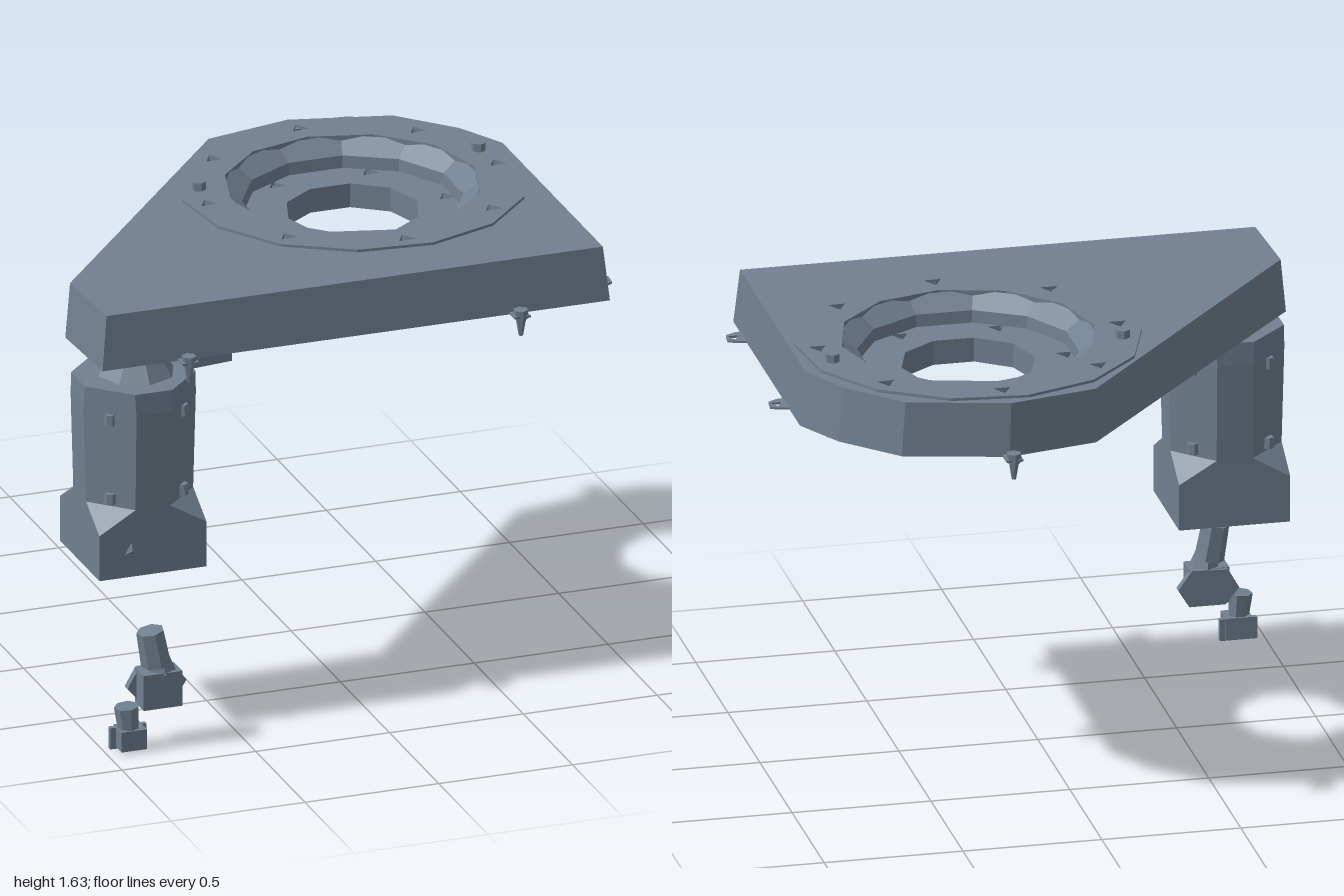
import * as THREE from 'three';

const slate = new THREE.MeshStandardMaterial({ color: 0x708090, flatShading: true });
slate.name = 'slate grey';

// regular polygon as [x, z] pairs
function ngon(cx, cz, r, n, turn = 0) {
  return Array.from({ length: n }, (_, i) => {
    const a = turn + (i / n) * Math.PI * 2;
    return [cx + r * Math.cos(a), cz + r * Math.sin(a)];
  });
}

// upright prism from an [x, z] outline; holes run the same way round and are reversed here
function prism(outline, y0, y1, holes = []) {
  const flip = (pts) => pts.map(([x, z]) => new THREE.Vector2(x, -z));
  const shape = new THREE.Shape(flip(outline));
  holes.forEach((h) => shape.holes.push(new THREE.Path(flip(h).reverse())));
  const g = new THREE.ExtrudeGeometry(shape, { depth: y1 - y0, bevelEnabled: false });
  return g.rotateX(-Math.PI / 2).translate(0, y0, 0);
}

// eight-sided section: half width a, flat half width b
const octagon = (a, b) => [[a, -b], [a, b], [b, a], [-b, a], [-a, b], [-a, -b], [-b, -a], [b, -a]];

// closed loft through [y, points] sections
function loft(sections) {
  const n = sections[0][1].length;
  const pos = [];
  const index = [];
  sections.forEach(([y, pts]) => pts.forEach(([x, z]) => pos.push(x, y, z)));
  for (let s = 0; s < sections.length - 1; s++) {
    for (let i = 0; i < n; i++) {
      const a = s * n + i;
      const b = s * n + ((i + 1) % n);
      index.push(a, a + n, b + n, a, b + n, b);
    }
  }
  const top = (sections.length - 1) * n;
  for (let i = 1; i < n - 1; i++) {
    index.push(0, i, i + 1, top, top + i + 1, top + i);
  }
  const g = new THREE.BufferGeometry();
  g.setAttribute('position', new THREE.Float32BufferAttribute(pos, 3));
  g.setIndex(index);
  g.computeVertexNormals();
  return g;
}

export function createModel() {
  const model = new THREE.Group();
  model.name = 'slewingDrive';
  const add = (parent, name, geometry, x = 0, y = 0, z = 0) => {
    const m = new THREE.Mesh(geometry, slate);
    m.name = name;
    m.position.set(x, y, z);
    parent.add(m);
    return m;
  };
  const group = (name, x = 0, y = 0, z = 0) => {
    const g = new THREE.Group();
    g.name = name;
    g.position.set(x, y, z);
    model.add(g);
    return g;
  };
  const cyl = (rTop, rBottom, h, n) => new THREE.CylinderGeometry(rTop, rBottom, h, n);
  const box = (w, h, d) => new THREE.BoxGeometry(w, h, d);

  // hollow housing, slightly wider towards its open underside
  const cx = 0.285, cz = -0.15;
  const outline = [[-0.94, 0.68], [-0.955, 0.35], [-0.04, -0.73], [0.28, -0.8], [0.64, -0.71],
    [0.82, -0.52], [0.915, -0.34], [0.915, 0.68]];
  const inner = outline.map(([x, z]) => [x * 0.965, z * 0.955]);
  const flare = (g) => {
    const p = g.attributes.position;
    for (let i = 0; i < p.count; i++) {
      const t = (1.59 - p.getY(i)) / 0.2;
      p.setX(i, p.getX(i) * (1 + 0.022 * t));
      p.setZ(i, p.getZ(i) * (1 + (p.getZ(i) > 0 ? 0.025 : 0.005) * t));
    }
    g.computeVertexNormals();
    return g;
  };
  const housing = group('housing');
  add(housing, 'housingWall', flare(prism(outline, 1.39, 1.57, [inner])));
  add(housing, 'housingRoof', flare(prism(outline, 1.57, 1.59, [ngon(cx, cz, 0.57, 14)])));

  // stepped bearing ring with triangular bolt holes
  const boltHoles = (n, r) => ngon(cx, cz, r, n).map(([x, z]) => ngon(x, z, 0.036, 3, 0.5));
  const bearing = group('bearing');
  add(bearing, 'outerRing', prism(ngon(cx, cz, 0.615, 14, 0.1), 1.42, 1.6,
    [ngon(cx, cz, 0.455, 12), ...boltHoles(8, 0.54)]));
  add(bearing, 'innerRing', prism(ngon(cx, cz, 0.47, 12), 1.41, 1.5,
    [ngon(cx, cz, 0.24, 10), ...boltHoles(6, 0.35)]));
  // sloping lip facing the bore
  const lip = new THREE.LatheGeometry([[0.46, 1.595], [0.39, 1.545], [0.385, 1.49]]
    .map(([r, y]) => new THREE.Vector2(r, y)), 12);
  add(bearing, 'bearingLip', lip, cx, 0, cz).rotation.y = Math.PI / 12;

  // alignment pins through the ring
  for (const x of [-0.24, 0.805]) {
    add(bearing, 'alignmentPin', cyl(0.026, 0.026, 0.31, 6), x, 1.475, -0.285);
  }

  // tapered mounting screws around the rim
  for (const [x, z] of [[-0.65, 0.73], [0.59, 0.73], [0.28, -0.84]]) {
    const screw = group('rimScrew', x, 0, z);
    add(screw, 'screwHead', cyl(0.027, 0.024, 0.035, 6), 0, 1.4);
    add(screw, 'screwShank', cyl(0.02, 0.008, 0.07, 6), 0, 1.355);
    add(screw, 'screwLug', box(0.06, 0.008, 0.07), 0, 1.394, z > 0 ? -0.015 : 0.015);
  }

  // open lugs on the left side
  for (const z of [-0.135, 0.53]) {
    add(housing, 'sideLug', prism([[0.92, z - 0.05], [0.98, z - 0.035], [1, z - 0.025],
      [0.995, z + 0.025], [0.96, z + 0.045], [0.92, z + 0.05]], 1.39, 1.398,
    [ngon(0.972, z, 0.024, 3, 0.5)]));
  }

  // motor: hollow-bottomed square base and faceted body
  const motor = group('motor', -0.785, 0, 0.53);
  const square = [[0.2, -0.2], [0.2, 0.2], [-0.2, 0.2], [-0.2, -0.2]];
  add(motor, 'motorBaseRim', prism(square, 0.61, 0.67, [ngon(0, 0, 0.15, 10)]));
  add(motor, 'motorBase', prism(square, 0.67, 0.78));
  add(motor, 'motorHub', cyl(0.1, 0.1, 0.04, 10), 0, 0.65);
  add(motor, 'motorBody', loft([[0.78, octagon(0.2, 0.2)], [0.86, octagon(0.2, 0.065)],
    [1.22, octagon(0.21, 0.065)], [1.3, octagon(0.207, 0.07)]]));
  add(motor, 'motorNeck', cyl(0.1, 0.14, 0.06, 8), 0.01, 1.33);
  add(motor, 'motorCollar', cyl(0.085, 0.06, 0.04, 8), 0, 1.375);
  add(motor, 'motorShaft', cyl(0.05, 0.05, 0.18, 8), 0, 1.46);

  // small bolts set on the corner facets, and a three-sided plug on the base
  for (const sx of [-1, 1]) {
    for (const sz of [-1, 1]) {
      for (const y of [0.89, 1.19]) {
        add(motor, 'bodyBolt', cyl(0.02, 0.022, 0.04, 6), sx * 0.135, y, sz * 0.135);
      }
    }
  }
  const plug = new THREE.ConeGeometry(0.032, 0.012, 3).rotateY(Math.PI).rotateX(Math.PI / 2);
  add(motor, 'basePlug', plug, -0.08, 0.71, 0.205);

  // bracket beside the motor, hanging from a faceted boss
  const bracket = group('bracket');
  add(bracket, 'bracketPlate', prism([[-0.6, 0.45], [-0.6, 0.24], [-0.52, 0.18], [-0.42, 0.18],
    [-0.375, 0.26], [-0.375, 0.42]], 1.24, 1.295));
  add(bracket, 'bracketBlock', cyl(0.092, 0.088, 0.12, 8), -0.465, 1.35, 0.32);
  add(bracket, 'bracketBoss', cyl(0.2, 0.2, 0.06, 6), -0.45, 1.43, 0.32);

  // larger loose fitting: block on a pointed back flange, with a leaning stem
  const large = group('largeFitting', -0.79, 0, 0.81);
  const flange = new THREE.Shape([[-0.11, 0.21], [-0.07, 0.28], [0.06, 0.285], [0.11, 0.215],
    [0.07, 0.15], [-0.06, 0.15]].map(([x, y]) => new THREE.Vector2(x, y)));
  add(large, 'fittingFlange', new THREE.ExtrudeGeometry(flange, { depth: 0.03, bevelEnabled: false }), 0, 0, -0.055);
  add(large, 'fittingBlock', box(0.145, 0.132, 0.09), -0.005, 0.217, 0.005);
  add(large, 'fittingNeck', cyl(0.038, 0.055, 0.06, 6), 0, 0.305).rotation.z = 0.15;
  add(large, 'fittingStem', cyl(0.05, 0.055, 0.13, 7), -0.025, 0.37, 0.005).rotation.z = 0.18;

  // smaller loose fitting
  const small = group('smallFitting', -0.905, 0, 0.825);
  add(small, 'fittingFlange', box(0.135, 0.08, 0.02), 0, 0.04, -0.027);
  add(small, 'fittingBlock', box(0.095, 0.075, 0.085), 0, 0.046);
  add(small, 'fittingStem', cyl(0.045, 0.038, 0.085, 7), -0.01, 0.122).rotation.z = 0.08;

  return model;
}
